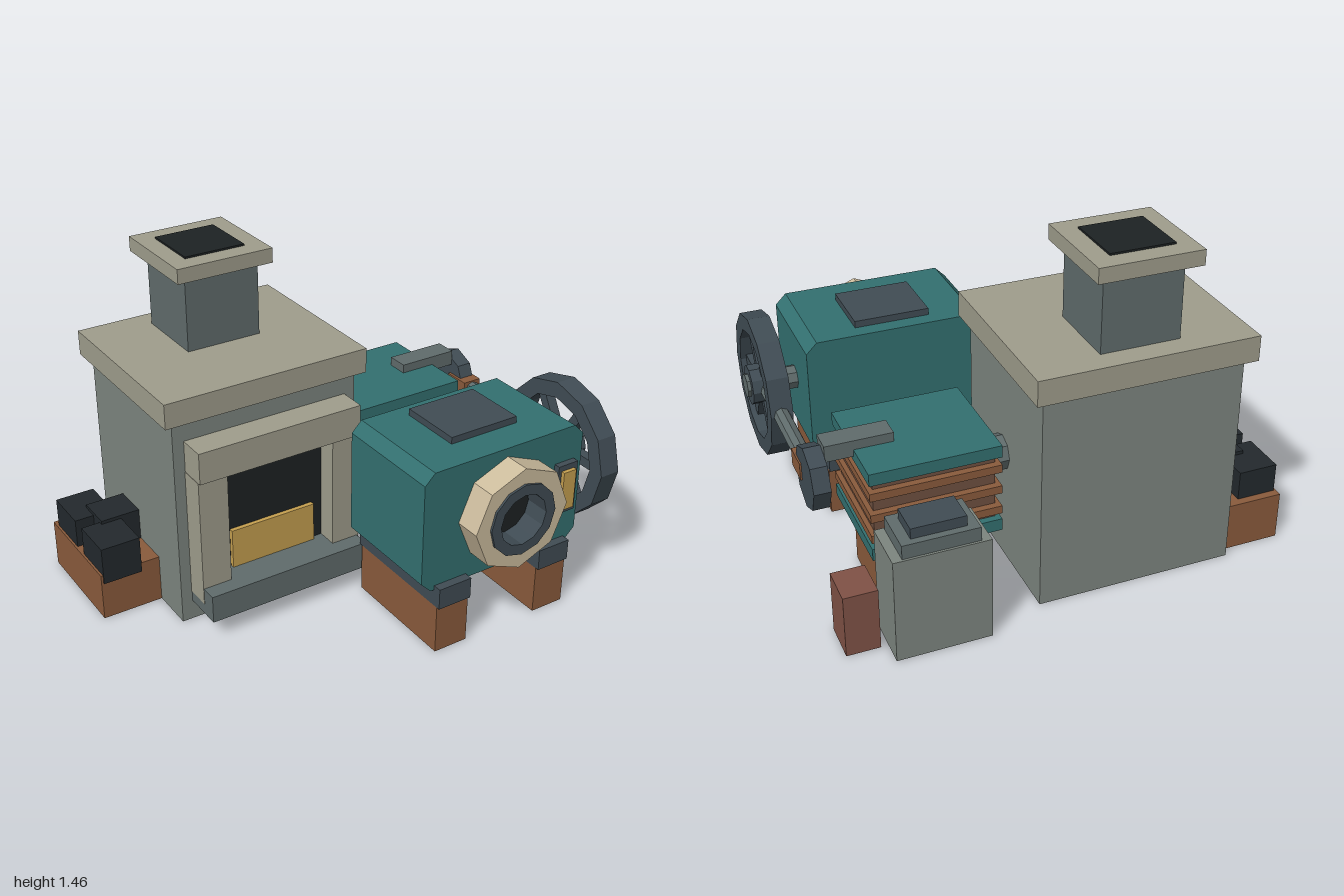
import * as THREE from 'three';

const COLORS = {
  stone: 0x7d857f, slab: 0x9f9d8c, slate: 0x606c6c, teal: 0x337070, copper: 0x8a5b3c,
  steel: 0x404c54, black: 0x1d2223, coal: 0x23292d, gold: 0xc6a050, cream: 0xcdbd9e,
  brick: 0x805246, core: 0x6e5040,
};
const mats = {};
for (const k in COLORS) mats[k] = new THREE.MeshStandardMaterial({ color: COLORS[k], flatShading: true });

export function createModel() {
  const root = new THREE.Group();
  let part = root;
  const group = (name) => {
    part = new THREE.Group();
    part.name = name;
    root.add(part);
    return part;
  };
  const add = (name, geo, color) => {
    const m = new THREE.Mesh(geo, mats[color]);
    m.name = name;
    part.add(m);
    return m;
  };
  // Box given by its extents on each axis
  const box = (name, color, x0, x1, y0, y1, z0, z1) => {
    const m = add(name, new THREE.BoxGeometry(x1 - x0, y1 - y0, z1 - z0), color);
    m.position.set((x0 + x1) / 2, (y0 + y1) / 2, (z0 + z1) / 2);
    return m;
  };
  // Cylinder along x
  const rodX = (name, color, r, x0, x1, y, z, sides) => {
    const geo = new THREE.CylinderGeometry(r, r, x1 - x0, sides).rotateZ(Math.PI / 2);
    const m = add(name, geo, color);
    m.position.set((x0 + x1) / 2, y, z);
    return m;
  };
  const polygon = (r, n, Type = THREE.Shape) => new Type(Array.from({ length: n }, (_, i) => {
    const a = (i / n) * Math.PI * 2;
    return new THREE.Vector2(r * Math.cos(a), r * Math.sin(a));
  }));
  // Flat polygonal ring extruded along z
  const ringGeo = (rOut, rIn, sides, depth) => {
    const s = polygon(rOut, sides);
    s.holes.push(polygon(rIn, sides, THREE.Path));
    return new THREE.ExtrudeGeometry(s, { depth, bevelEnabled: false });
  };

  // Furnace with hearth and chimney
  group('furnace');
  box('furnaceBody', 'stone', -0.73, 0.13, 0, 0.95, -0.74, 0);
  box('furnaceSlab', 'slab', -0.77, 0.17, 0.95, 1.06, -0.78, 0.03);
  box('chimney', 'slate', -0.47, -0.13, 1.06, 1.39, -0.68, -0.34);
  box('chimneyCap', 'slab', -0.52, -0.08, 1.385, 1.45, -0.74, -0.3);
  box('flueOpening', 'black', -0.44, -0.165, 1.44, 1.458, -0.655, -0.385);
  box('hearthStep', 'slate', -0.68, 0.075, 0.09, 0.215, -0.02, 0.185);
  box('lintel', 'slab', -0.68, 0.08, 0.72, 0.86, -0.02, 0.125);
  for (const x of [-0.682, -0.05]) box('doorPost', 'slab', x, x + 0.132, 0.14, 0.72, -0.02, 0.113);
  box('fireOpening', 'black', -0.55, -0.05, 0.215, 0.72, -0.02, 0.02);
  box('fireGlow', 'gold', -0.5, -0.1, 0.215, 0.395, 0, 0.04);

  // Coal bin
  group('coalBin');
  box('bin', 'copper', -1, -0.73, 0, 0.215, -0.7, -0.2);
  box('coalLump', 'coal', -0.99, -0.815, 0.175, 0.345, -0.665, -0.46);
  box('coalLump', 'coal', -0.99, -0.815, 0.175, 0.345, -0.395, -0.195);
  box('coalLump', 'coal', -0.905, -0.73, 0.2, 0.36, -0.535, -0.375);

  // Engine housing with chamfered long edges
  group('engine');
  const [l, r, b, t, c] = [-0.02, 0.78, 0.295, 0.845, 0.047];
  const profile = new THREE.Shape([
    [l + c, b], [r - c, b], [r, b + c], [r, t - c], [r - c, t], [l + c, t], [l, t - c], [l, b + c],
  ].map(([x, y]) => new THREE.Vector2(x, y)));
  add('engineHousing', new THREE.ExtrudeGeometry(profile, { depth: 0.507, bevelEnabled: false }), 'teal')
    .position.z = 0.21;
  box('topPlate', 'steel', 0.215, 0.545, 0.84, 0.875, 0.28, 0.57);
  for (const x of [0.045, 0.563]) {
    box('footBracket', 'steel', x, x + 0.158, 0.22, 0.315, 0.185, 0.755);
    box('footBlock', 'copper', x, x + 0.158, 0, 0.22, 0.2, 0.74);
  }
  box('gaugeFrame', 'steel', 0.64, 0.74, 0.46, 0.69, 0.71, 0.745);
  box('gaugeGlass', 'gold', 0.655, 0.72, 0.485, 0.665, 0.74, 0.762);

  // Round port on the engine front
  group('port');
  part.position.set(0.385, 0.575, 0);
  add('portCollar', ringGeo(0.232, 0.15, 8, 0.12), 'cream').position.z = 0.71;
  add('portRing', ringGeo(0.163, 0.115, 12, 0.13), 'steel').position.z = 0.71;
  add('portBore', new THREE.CylinderGeometry(0.118, 0.118, 0.02, 12).rotateX(Math.PI / 2), 'black')
    .position.z = 0.72;

  // Flywheel on its axle
  group('flywheel');
  const wy = 0.575, wz = 0.447;
  add('rim', ringGeo(0.312, 0.24, 12, 0.095).rotateY(Math.PI / 2), 'steel').position.set(0.87, wy, wz);
  for (let i = 0; i < 3; i++) {
    const spoke = box('spokePair', 'steel', 0.895, 0.94, wy - 0.022, wy + 0.022, wz - 0.25, wz + 0.25);
    spoke.rotation.x = (i * Math.PI) / 3;
  }
  rodX('hub', 'steel', 0.088, 0.855, 0.985, wy, wz, 10);
  rodX('axle', 'slate', 0.053, 0.76, 1, wy, wz, 8);

  // Drive linkage
  group('linkage');
  const rod = add('connectingRod', new THREE.CylinderGeometry(0.035, 0.035, 0.66, 8).rotateX(Math.PI / 2), 'slate');
  rod.position.set(0.918, wy, 0.13);
  box('crosshead', 'copper', 0.872, 0.962, 0.54, 0.615, -0.305, -0.18);
  rodX('crankDisc', 'steel', 0.133, 0.885, 0.955, wy, -0.345, 8);
  box('guideArm', 'slate', 0.605, 0.885, 0.66, 0.73, -0.4, -0.3);

  // Finned cylinder block
  group('finnedBlock');
  box('blockCore', 'core', 0.25, 0.75, 0.34, 0.65, -0.56, -0.12);
  for (const y of [0.295, 0.637]) box('blockPlate', 'teal', 0.23, 0.77, y, y + 0.053, -0.59, -0.1);
  for (const y of [0.375, 0.47, 0.567]) box('fin', 'copper', 0.23, 0.77, y, y + 0.035, -0.59, -0.1);
  box('blockPlinth', 'copper', 0.3, 0.715, 0, 0.295, -0.53, -0.16);
  rodX('furnacePipe', 'slate', 0.077, 0.1, 0.26, 0.5, -0.347, 8);

  // Rear tank and brick block
  group('rearTank');
  box('tank', 'stone', 0.375, 0.77, 0, 0.46, -0.845, -0.62);
  box('tankLid', 'slate', 0.415, 0.73, 0.46, 0.52, -0.835, -0.63);
  box('tankCap', 'steel', 0.46, 0.685, 0.52, 0.565, -0.805, -0.663);
  box('brickBlock', 'brick', 0.8, 0.94, 0, 0.275, -0.745, -0.575);

  return root;
}
